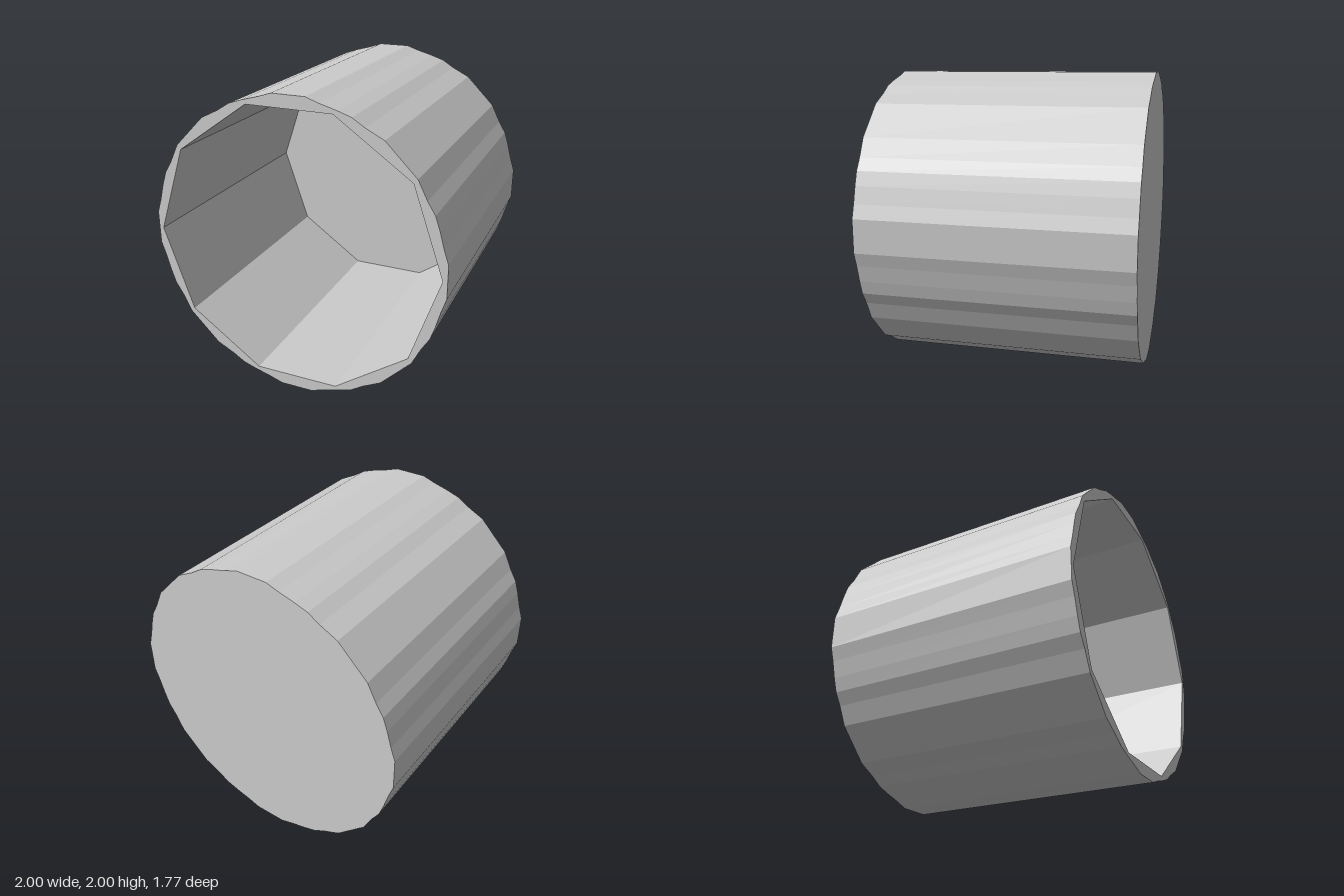
import * as THREE from 'three';

const HALF = 0.885;   // half the depth along z
const FLOOR = 0.02;   // thickness of the closed back

// Mirror one quadrant (running from +x to +y) into a closed counter-clockwise loop.
function mirrorQuadrant(quad) {
  const clean = (pts) => pts.filter((p, i) => i === 0 || p.distanceTo(pts[i - 1]) > 1e-6);
  const q = quad.map(([x, y]) => new THREE.Vector2(x, y));
  const flip = (pts, sx, sy) => pts.map((p) => new THREE.Vector2(p.x * sx, p.y * sy));
  const back = [...q].reverse();
  const loop = clean([...q, ...flip(back, -1, 1), ...flip(q, -1, -1), ...flip(back, 1, -1)]);
  if (loop[0].distanceTo(loop[loop.length - 1]) < 1e-6) loop.pop();
  return loop;
}

export function createModel() {
  const group = new THREE.Group();
  group.name = 'cup';
  const material = new THREE.MeshStandardMaterial({ color: 0xcccccc, flatShading: true });

  // Slightly uneven outer outline and ten-sided bore
  const octant = [[1, 0.11], [0.97, 0.2], [0.94, 0.31], [0.91, 0.4], [0.86, 0.48], [0.8, 0.6]];
  const outer = mirrorQuadrant([...octant, ...octant.map(([x, y]) => [y, x]).reverse()]);
  const bore = mirrorQuadrant([[0.97, 0], [0.775, 0.573], [0.285, 0.916]]);

  const add = (name, geometry, z) => {
    const mesh = new THREE.Mesh(geometry, material);
    mesh.name = name;
    mesh.position.set(0, 1, z);
    group.add(mesh);
    return mesh;
  };

  // Wall: outer outline with the bore cut through
  const wallShape = new THREE.Shape(outer);
  wallShape.holes.push(new THREE.Path(bore));
  add('wall', new THREE.ExtrudeGeometry(wallShape, { depth: 2 * HALF, bevelEnabled: false }), -HALF);

  // Thin closed back: inside floor and outside face
  const boreShape = new THREE.Shape(bore);
  add('innerFloor', new THREE.ShapeGeometry(boreShape), -HALF + FLOOR);
  add('backFace', new THREE.ShapeGeometry(boreShape).rotateY(Math.PI), -HALF);

  return group;
}
